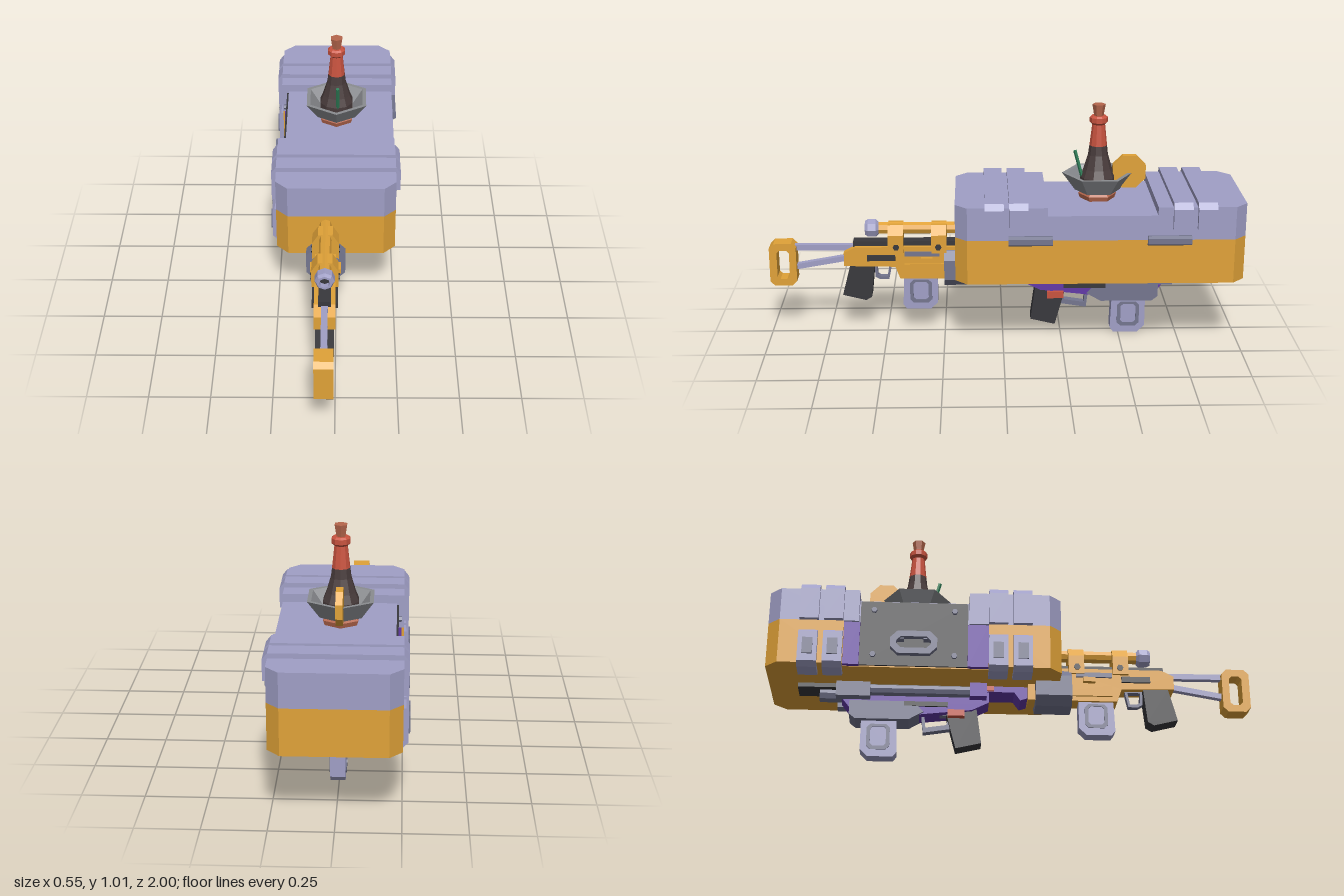
import * as THREE from 'three';

const mats = {};
const mat = (color) => (mats[color] ??= new THREE.MeshStandardMaterial({ color, flatShading: true, side: THREE.DoubleSide }));
const GOLD = 0xe0a238, LAV = 0xa09fc6, STEEL = 0x74768f, DARK = 0x38383c, PURPLE = 0x6238a8,
  RED = 0xc9533f, CORK = 0xb5664c, BROWN = 0x493c3c, GREEN = 0x2f7f58, GREY = 0x8a8c90;

function add(parent, name, geo, color, x = 0, y = 0, z = 0) {
  const m = new THREE.Mesh(geo, mat(color));
  m.name = name;
  m.position.set(x, y, z);
  parent.add(m);
  return m;
}
function shapeOf(pts, holes = []) {
  const v = (a) => a.map((p) => new THREE.Vector2(p[0], p[1]));
  const s = new THREE.Shape(v(pts));
  holes.forEach((h) => s.holes.push(new THREE.Path(v(h))));
  return s;
}
const extrude = (pts, depth, holes) =>
  new THREE.ExtrudeGeometry(shapeOf(pts, holes), { depth, bevelEnabled: false });
// Profile given as [z, y], extruded across x and centred
const sideGeo = (pts, w, holes) => extrude(pts, w, holes).translate(0, 0, -w / 2).rotateY(-Math.PI / 2);
// Outline given as [x, z], extruded upward
const planGeo = (pts, h) => extrude(pts.map(([x, z]) => [x, -z]), h).rotateX(-Math.PI / 2);
// Box given by its limits
function box(parent, name, color, [x0, x1], [y0, y1], [z0, z1]) {
  return add(parent, name, new THREE.BoxGeometry(x1 - x0, y1 - y0, z1 - z0), color,
    (x0 + x1) / 2, (y0 + y1) / 2, (z0 + z1) / 2);
}
const rod = (r0, r1, len, n = 8) => new THREE.CylinderGeometry(r0, r1, len, n).rotateX(Math.PI / 2);
// Rectangle with cut corners
const cutRect = (a0, a1, b0, b1, c) => [[a0 + c, b0], [a1 - c, b0], [a1, b0 + c], [a1, b1 - c],
  [a1 - c, b1], [a0 + c, b1], [a0, b1 - c], [a0, b0 + c]];

function group(parent, name, x = 0) {
  const g = new THREE.Group();
  g.name = name;
  g.position.x = x;
  parent.add(g);
  return g;
}

function buildCase(root) {
  const g = group(root, 'case');
  // Lower shell, notched on the right-hand side
  const c = 0.05;
  add(g, 'lowerShell', planGeo([[-0.25, -0.95], [-0.2, -1], [0.2, -1], [0.25, -0.95], [0.25, 0.15], [0.2, 0.2],
    [-0.2, 0.2], [-0.25, 0.15], [-0.25, -0.1], [-0.22, -0.1], [-0.22, -0.69], [-0.25, -0.69]], 0.19), GOLD, 0, 0.31, 0);
  // Lid: two raised ends and a lower middle
  add(g, 'lidBack', planGeo([[-0.25, -1 + c], [-0.25 + c, -1], [0.25 - c, -1], [0.25, -1 + c], [0.25, -0.63], [-0.25, -0.63]], 0.14), LAV, 0, 0.5, 0);
  add(g, 'lidFront', planGeo([[-0.25, 0.2 - c], [-0.25, -0.18], [0.25, -0.18], [0.25, 0.2 - c], [0.25 - c, 0.2], [-0.25 + c, 0.2]], 0.14), LAV, 0, 0.5, 0);
  box(g, 'lidMiddle', LAV, [-0.22, 0.25], [0.5, 0.605], [-0.63, -0.18]);
  // Recessed side panel with its handle
  box(g, 'purpleTrim', PURPLE, [-0.24, -0.21], [0.312, 0.5], [-0.69, -0.625]);
  box(g, 'purpleTrim', PURPLE, [-0.24, -0.21], [0.312, 0.5], [-0.185, -0.1]);
  box(g, 'sidePanel', DARK, [-0.228, -0.2], [0.315, 0.6], [-0.625, -0.185]);
  for (const z of [-0.57, -0.24]) for (const y of [0.36, 0.56])
    add(g, 'panelBolt', new THREE.CylinderGeometry(0.012, 0.012, 0.016, 6).rotateZ(Math.PI / 2), STEEL, -0.232, y, z);
  add(g, 'sideHandle', sideGeo(cutRect(-0.5, -0.31, 0.35, 0.45, 0.03), 0.026, [cutRect(-0.475, -0.335, 0.375, 0.425, 0.018)]), STEEL, -0.262);
  for (const z of [-0.46, -0.35]) box(g, 'handleMount', STEEL, [-0.262, -0.22], [0.42, 0.45], [z - 0.015, z + 0.015]);
  // Straps over the lid and clasps under the shell
  const strap = [[-0.27, 0.5], [-0.27, 0.635], [-0.25, 0.66], [0.25, 0.66], [0.27, 0.635], [0.27, 0.55], [0.245, 0.55],
    [0.245, 0.63], [-0.245, 0.63], [-0.245, 0.5]];
  const clasp = [[-0.27, 0.44], [-0.27, 0.31], [-0.25, 0.29], [-0.17, 0.29], [-0.15, 0.312], [-0.24, 0.312], [-0.24, 0.45], [-0.26, 0.45]];
  for (const z of [-0.87, -0.77, -0.1, 0]) {
    add(g, 'strap', extrude(strap, 0.078), LAV, 0, 0, z);
    add(g, 'clasp', extrude(clasp, 0.078), LAV, 0, 0, z);
    box(g, 'claspPlate', STEEL, [-0.276, -0.265], [0.34, 0.41], [z + 0.018, z + 0.06]);
  }
  // Rails on the other side
  for (const z of [-0.68, -0.11])
    add(g, 'sideRail', extrude([[0.24, 0.48], [0.26, 0.48], [0.272, 0.488], [0.272, 0.512], [0.26, 0.52], [0.24, 0.52]], 0.18), STEEL, 0, 0, z - 0.09);
}

function buildBottle(root) {
  const g = group(root, 'bottleSet');
  g.position.z = -0.4;
  const lathe = (name, pts, n, color) =>
    add(g, name, new THREE.LatheGeometry(pts.map((p) => new THREE.Vector2(...p)), n), color);
  lathe('bowlFoot', [[0, 0.6], [0.072, 0.6], [0.08, 0.625], [0.06, 0.645], [0, 0.645]], 6, CORK);
  lathe('bowl', [[0, 0.64], [0.095, 0.64], [0.15, 0.715], [0.132, 0.715], [0.085, 0.66], [0, 0.66]], 6, GREY);
  lathe('bottleBody', [[0, 0.66], [0.074, 0.66], [0.074, 0.7], [0.06, 0.735], [0.042, 0.795], [0.037, 0.835]], 10, BROWN);
  lathe('bottleNeck', [[0.037, 0.835], [0.027, 0.925], [0.038, 0.935], [0.038, 0.955], [0.03, 0.962], [0, 0.962]], 10, RED);
  lathe('cork', [[0.019, 0.955], [0.022, 0.975], [0.028, 1.01], [0, 1.01]], 6, CORK);
  const straw = add(g, 'straw', new THREE.CylinderGeometry(0.008, 0.008, 0.14, 5), GREEN, 0.005, 0.745, 0.078);
  straw.rotation.x = 0.27;
  add(g, 'slice', new THREE.CylinderGeometry(0.075, 0.075, 0.028, 8).rotateZ(Math.PI / 2), GOLD, 0, 0.72, -0.132).rotation.x = 0.39;
}

function magazine(g, z, y0, y1) {
  const pts = [[z + 0.07, y1], [z + 0.075, y0 + 0.02], [z + 0.06, y0], [z - 0.045, y0], [z - 0.075, y0 + 0.03], [z - 0.075, y1]];
  add(g, 'magazine', sideGeo(pts, 0.06), LAV);
  add(g, 'magazinePanel', sideGeo(cutRect(z - 0.05, z + 0.045, y0 + 0.03, y1 - 0.02, 0.015), 0.068,
    [cutRect(z - 0.035, z + 0.03, y0 + 0.045, y1 - 0.03, 0.01)]), STEEL);
}

function buildGoldRifle(root) {
  const g = group(root, 'goldRifle', -0.042);
  // Shoulder stock frame and rods
  add(g, 'stockFrame', sideGeo(cutRect(0.885, 1, 0.21, 0.4, 0.02), 0.075, [cutRect(0.915, 0.968, 0.24, 0.37, 0.012)]), GOLD);
  for (const [y0, y1] of [[0.375, 0.373], [0.285, 0.33]])
    add(g, 'stockRod', sideGeo([[0.9, y0 - 0.012], [0.9, y0 + 0.012], [0.64, y1 + 0.012], [0.64, y1 - 0.012]], 0.026), LAV);
  // Receiver
  add(g, 'receiver', sideGeo([[0.68, 0.3], [0.68, 0.36], [0.63, 0.385], [0.2, 0.385], [0.07, 0.37], [0.07, 0.24], [0.44, 0.24], [0.46, 0.295]], 0.085), GOLD);
  box(g, 'topRail', DARK, [-0.025, 0.025], [0.38, 0.405], [0.2, 0.64]);
  for (const s of [-1, 1]) {
    box(g, 'ejectionPort', DARK, [s * 0.046 - 0.006, s * 0.046 + 0.006], [0.325, 0.35], [0.46, 0.58]);
    box(g, 'sideSlot', STEEL, [s * 0.046 - 0.006, s * 0.046 + 0.006], [0.345, 0.365], [0.27, 0.42]);
    box(g, 'selector', GOLD, [s * 0.052 - 0.012, s * 0.052 + 0.012], [0.32, 0.34], [0.3, 0.35]);
    box(g, 'sidePlate', GOLD, [s * 0.046 - 0.006, s * 0.046 + 0.006], [0.26, 0.31], [0.1, 0.42]);
    for (const z of [0.455, 0.275])
      add(g, 'mountBolt', new THREE.CylinderGeometry(0.014, 0.014, 0.02, 6).rotateZ(Math.PI / 2), DARK, s * 0.05, 0.388, z);
  }
  add(g, 'grip', sideGeo([[0.55, 0.3], [0.655, 0.3], [0.69, 0.165], [0.59, 0.14], [0.565, 0.155]], 0.075), DARK);
  add(g, 'triggerGuard', sideGeo([[0.55, 0.3], [0.55, 0.24], [0.53, 0.228], [0.49, 0.228], [0.475, 0.3]], 0.03,
    [[[0.54, 0.292], [0.538, 0.248], [0.526, 0.24], [0.497, 0.24], [0.488, 0.292]]]), STEEL);
  magazine(g, 0.355, 0.095, 0.25);
  // Sight tube on two mounts
  for (const z of [0.425, 0.24])
    add(g, 'sightMount', extrude([[-0.055, 0.36], [0.055, 0.36], [0.055, 0.44], [0.03, 0.48], [-0.03, 0.48], [-0.055, 0.44]], 0.065), GOLD, 0, 0, z);
  add(g, 'sightTube', rod(0.026, 0.026, 0.36), GOLD, 0, 0.458, 0.36);
  add(g, 'sightCap', new THREE.LatheGeometry([[0.026, 0], [0.04, 0.012], [0.04, 0.045], [0.032, 0.058], [0.022, 0.058], [0.022, 0.03], [0, 0.03]]
    .map((p) => new THREE.Vector2(...p)), 8).rotateX(Math.PI / 2), LAV, 0, 0.458, 0.53);
  add(g, 'sightLens', rod(0.024, 0.024, 0.02), DARK, 0, 0.458, 0.555);
  // Fore end
  add(g, 'foreEnd', extrude(cutRect(-0.082, 0.082, 0.212, 0.37, 0.035), 0.15), STEEL, 0, 0, 0.1);
}

function buildPurpleRifle(root) {
  const g = group(root, 'purpleRifle', 0.005);
  // Receiver and rear stub
  add(g, 'receiver', sideGeo([[-0.09, 0.24], [-0.09, 0.312], [-0.68, 0.312], [-0.7, 0.25], [-0.66, 0.2], [-0.38, 0.18], [-0.16, 0.205]], 0.095), PURPLE);
  add(g, 'rearStub', sideGeo([[0.07, 0.26], [0.04, 0.25], [0.015, 0.285], [-0.1, 0.285], [-0.1, 0.312], [0.07, 0.312]], 0.11), PURPLE);
  box(g, 'underRail', DARK, [-0.05, 0.05], [0.292, 0.312], [-0.88, 0.08]);
  for (const s of [-1, 1]) {
    add(g, 'sideTube', rod(0.024, 0.024, 0.54), STEEL, s * 0.062, 0.278, -0.42);
    box(g, 'tubeBlock', STEEL, [s * 0.065 - 0.024, s * 0.065 + 0.024], [0.242, 0.305], [-0.72, -0.58]);
    box(g, 'tubeBlock', PURPLE, [s * 0.065 - 0.026, s * 0.065 + 0.026], [0.25, 0.31], [-0.17, -0.1]);
    box(g, 'sideSlot', DARK, [s * 0.05 - 0.006, s * 0.05 + 0.006], [0.215, 0.235], [-0.44, -0.26]);
    box(g, 'selector', RED, [s * 0.05 - 0.014, s * 0.05 + 0.014], [0.172, 0.2], [-0.26, -0.19]);
    box(g, 'rearMark', RED, [s * 0.055 - 0.008, s * 0.055 + 0.008], [0.288, 0.308], [-0.14, -0.07]);
  }
  add(g, 'muzzle', rod(0.03, 0.03, 0.1), STEEL, 0, 0.275, -0.74);
  // Fore end, grip and feed
  add(g, 'foreEnd', sideGeo([[-0.36, 0.19], [-0.42, 0.155], [-0.64, 0.155], [-0.665, 0.175], [-0.665, 0.235], [-0.4, 0.235]], 0.11), STEEL);
  add(g, 'grip', sideGeo([[-0.14, 0.215], [-0.265, 0.19], [-0.225, 0.04], [-0.12, 0.065]], 0.068), DARK);
  add(g, 'triggerGuard', sideGeo([[-0.23, 0.2], [-0.25, 0.13], [-0.36, 0.112], [-0.37, 0.2]], 0.034,
    [[[-0.25, 0.19], [-0.265, 0.148], [-0.35, 0.135], [-0.355, 0.19]]]), STEEL);
  magazine(g, -0.54, 0, 0.16);
}

export function createModel() {
  const root = new THREE.Group();
  root.name = 'weaponCase';
  buildCase(root);
  buildBottle(root);
  buildGoldRifle(root);
  buildPurpleRifle(root);
  return root;
}
